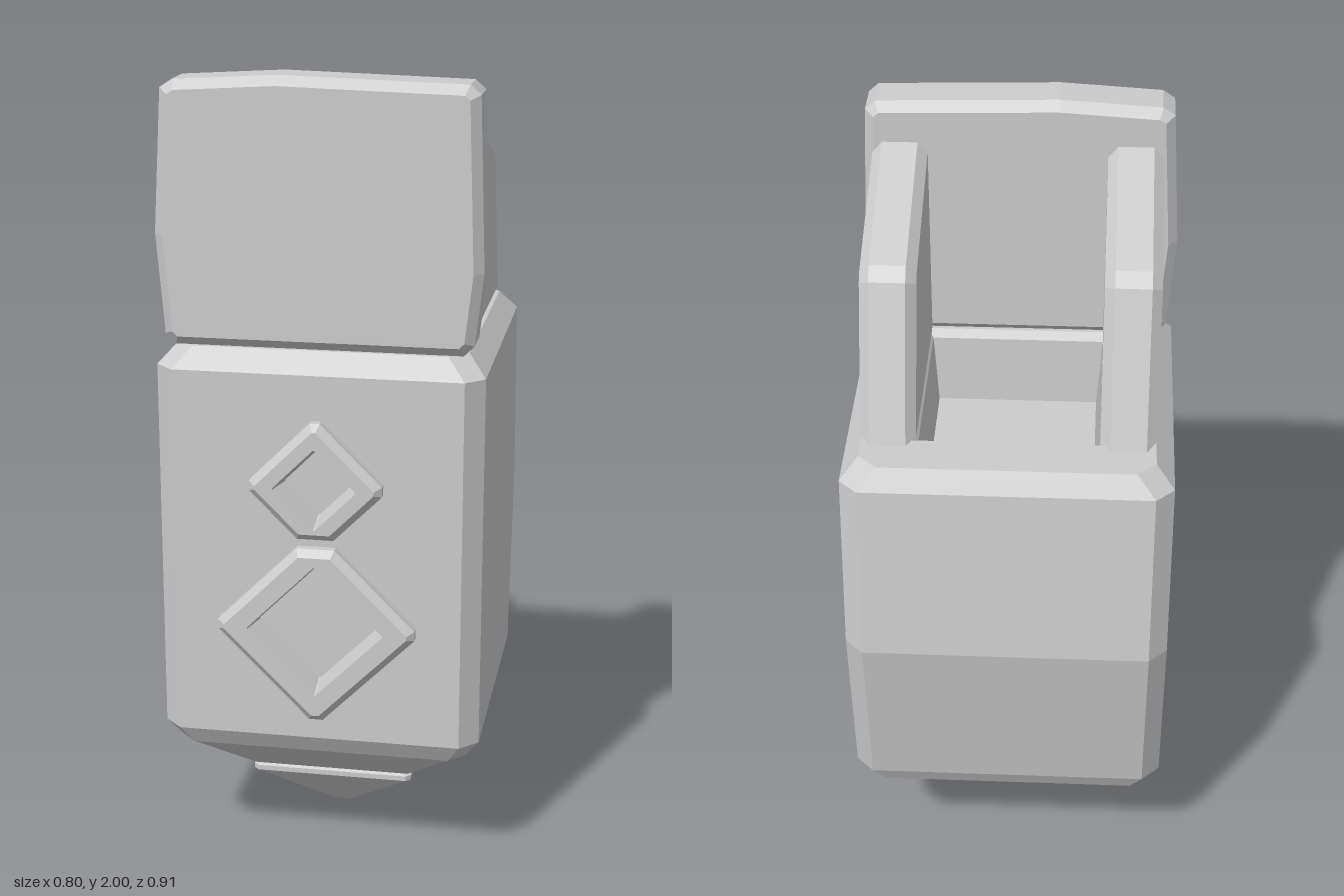
import * as THREE from 'three';

// Skin between loops of equal length; optional caps and skipped faces
function loft(rings, { capStart = false, capEnd = false, skip = () => false } = {}) {
  const n = rings[0].length, index = [];
  for (let r = 0; r < rings.length - 1; r++) {
    for (let i = 0; i < n; i++) {
      if (skip(r, i)) continue;
      const a = r * n + i, b = r * n + (i + 1) % n;
      index.push(a, b, b + n, a, b + n, a + n);
    }
  }
  const last = (rings.length - 1) * n;
  for (let i = 1; i < n - 1; i++) {
    if (capStart) index.push(0, i + 1, i);
    if (capEnd) index.push(last, last + i, last + i + 1);
  }
  const g = new THREE.BufferGeometry();
  g.setAttribute('position', new THREE.Float32BufferAttribute(rings.flat(2), 3));
  g.setIndex(index);
  const flat = g.toNonIndexed();
  flat.computeVertexNormals();
  return flat;
}

// Horizontal rectangle with cut corners, starting with its front edge
const slab = (y, hx, zf, zb, c) => [
  [-hx + c, y, zf], [hx - c, y, zf], [hx, y, zf - c], [hx, y, zb + c],
  [hx - c, y, zb], [-hx + c, y, zb], [-hx, y, zb + c], [-hx, y, zf - c],
];

// Upright diamond with cut tips: right, top, left, bottom
const diamond = (cy, r, [a, b, c, d], z) => [
  [r - a, cy - a, z], [r - a, cy + a, z], [b, cy + r - b, z], [-b, cy + r - b, z],
  [-r + c, cy + c, z], [-r + c, cy - c, z], [-d, cy - r + d, z], [d, cy - r + d, z],
];

const shapeOf = (pts) => new THREE.Shape(pts.map(([x, y]) => new THREE.Vector2(x, y)));

// Bevelled plate whose bevel stays inside the outline
const plate = (pts, thickness, bevel) => new THREE.ExtrudeGeometry(shapeOf(pts), {
  depth: thickness - 2 * bevel, bevelEnabled: true, bevelSegments: 1,
  bevelSize: bevel, bevelThickness: bevel, bevelOffset: -bevel,
}).translate(0, 0, bevel);

export function createModel() {
  const model = new THREE.Group();
  const grey = new THREE.MeshStandardMaterial({ color: 0xcccccc });
  grey.name = 'light grey';
  grey.flatShading = true;
  const add = (name, geometry, parent = model) => {
    const mesh = new THREE.Mesh(geometry, grey);
    mesh.name = name;
    parent.add(mesh);
    return mesh;
  };

  const frames = [
    { name: 'smallDiamond', cy: 1.025, r: 0.175, hole: 0.103, cuts: [0.012, 0.012, 0.012, 0.045] },
    { name: 'largeDiamond', cy: 0.66, r: 0.257, hole: 0.17, cuts: [0.012, 0.047, 0.012, 0.017] },
  ];

  // Body shell, open at the top and at the flat front
  const body = new THREE.Group();
  body.name = 'body';
  model.add(body);
  const top = slab(1.35, 0.355, 0.37, -0.375, 0.045);
  add('bodyShell', loft([
    slab(0.185, 0.22, 0.225, -0.2, 0.02),
    slab(0.31, 0.365, 0.385, -0.35, 0.04),
    slab(0.36, 0.4, 0.415, -0.375, 0.045),
    slab(0.84, 0.4, 0.415, -0.455, 0.045),
    slab(1.3, 0.4, 0.415, -0.41, 0.045),
    top,
  ], { capStart: true, skip: (r, i) => i === 0 && (r === 2 || r === 3) }), body);

  // Front face with openings under the diamond frames
  const face = shapeOf([[-0.355, 0.36], [0.355, 0.36], [0.355, 1.3], [-0.355, 1.3]]);
  for (const f of frames) {
    const r = (f.r + f.hole) / 2;
    face.holes.push(shapeOf([[r, f.cy], [0, f.cy - r], [-r, f.cy], [0, f.cy + r]]));
  }
  add('bodyFront', new THREE.ShapeGeometry(face).translate(0, 0, 0.415), body);

  // Top rim and the sunken tray behind the front panel
  const rect = (y, hx, zf, zb) => [[-hx, y, zf], [hx, y, zf], [hx, y, zb], [-hx, y, zb]];
  const mouth = rect(1.35, 0.235, 0.25, -0.26);
  const rim = shapeOf(top.map(([x, , z]) => [x, -z]));
  rim.holes.push(shapeOf(mouth.map(([x, , z]) => [x, -z])));
  add('topRim', new THREE.ShapeGeometry(rim).rotateX(-Math.PI / 2).translate(0, 1.35, 0), body);
  add('tray', loft([
    mouth, rect(1.33, 0.22, 0.235, -0.24), rect(1.15, 0.207, 0.222, -0.23),
  ], { capEnd: true }), body);

  // Diamond frames with recessed centres
  for (const { name, cy, r, hole, cuts } of frames) {
    const tiny = [0.002, 0.002, 0.002, 0.002];
    add(name, loft([
      diamond(cy, r, cuts, 0.41),
      diamond(cy, r, cuts, 0.435),
      diamond(cy, r - 0.025, cuts.map((c) => c - 0.0075), 0.453),
      diamond(cy, hole, tiny, 0.453),
      diamond(cy, hole - 0.018, tiny, 0.38),
    ], { capEnd: true }));
  }

  // Pointed foot
  const foot = (y, h, c) => slab(y, h, 0.02 + h, 0.02 - h, c);
  add('footPoint', loft([
    foot(0, 0.014, 0.005), foot(0.012, 0.032, 0.008), foot(0.165, 0.208, 0.012),
    foot(0.178, 0.208, 0.012), foot(0.19, 0.19, 0.01),
  ], { capStart: true, capEnd: true }));

  // Slightly bulging front panel
  add('frontPanel', plate([
    [-0.355, 1.35], [0.345, 1.35], [0.37, 1.375], [0.39, 1.55], [0.375, 1.965], [0.35, 1.988],
    [-0.1, 2], [-0.35, 1.985], [-0.38, 1.965], [-0.4, 1.62], [-0.38, 1.375],
  ], 0.143, 0.023).translate(0, 0, 0.238));

  // Sloped side walls, outlined as (-z, y)
  const wall = [
    [-0.213, 1.35], [0.28, 1.35], [0.307, 1.366], [0.182, 1.74], [0.152, 1.77],
    [-0.213, 1.902], [-0.238, 1.882], [-0.238, 1.375],
  ];
  for (const [name, x] of [['leftWall', 0.22], ['rightWall', -0.355]]) {
    add(name, plate(wall, 0.135, 0.024).rotateY(Math.PI / 2).translate(x, 0, 0));
  }

  return model;
}
